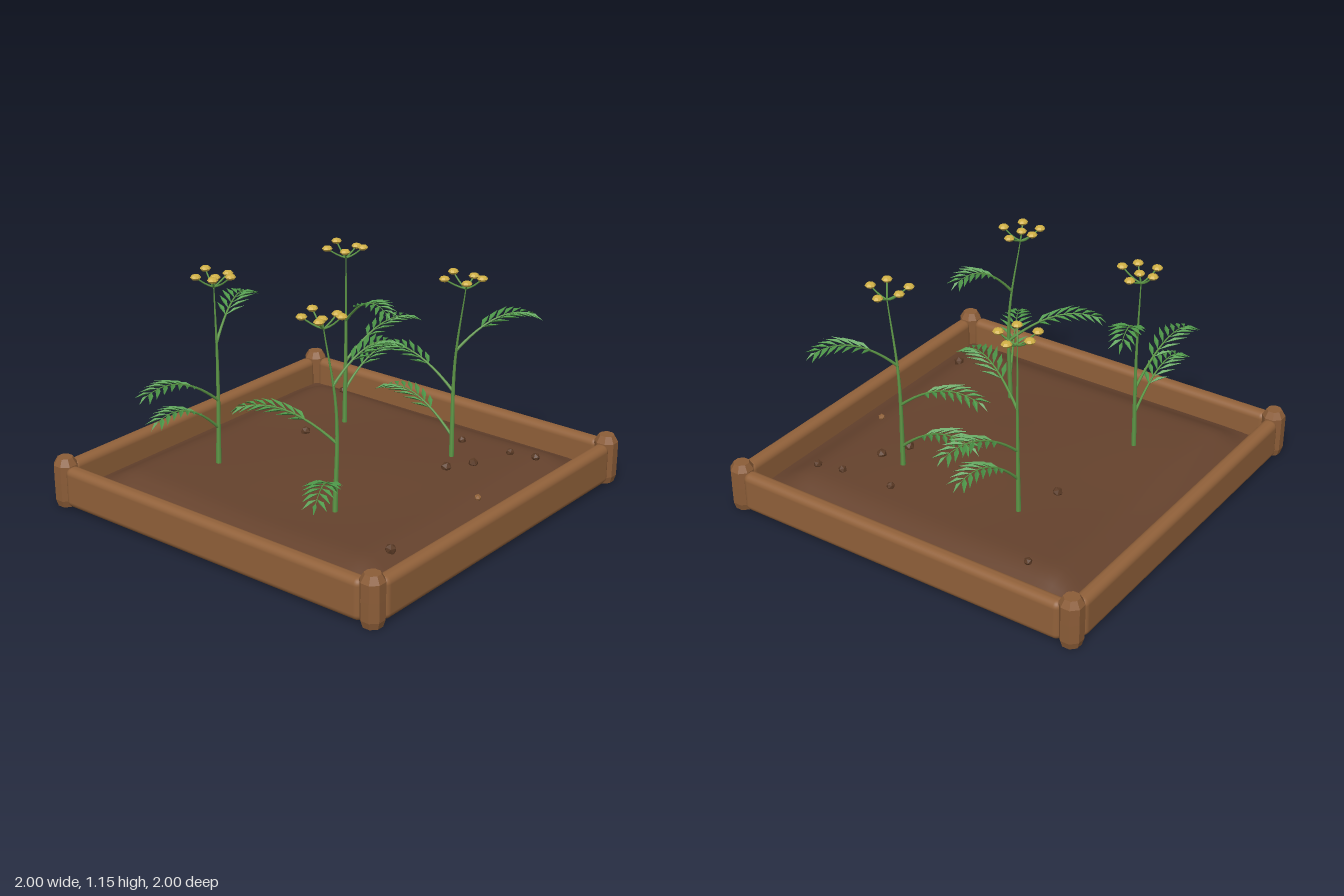
import * as THREE from 'three';
import { mergeGeometries } from 'three/addons/utils/BufferGeometryUtils.js';
import { RoundedBoxGeometry } from 'three/addons/geometries/RoundedBoxGeometry.js';

const material = (name, color, extra = {}) => {
  const m = new THREE.MeshStandardMaterial({ color, ...extra });
  m.name = name;
  return m;
};
const wood = material('wood', 0x91613a);
const hewnWood = material('hewn wood', 0x8c5d38, { flatShading: true });
const soilBrown = material('soil brown', 0x65422d, { side: THREE.DoubleSide });
const stoneBrown = material('stone brown', 0x5a3a25, { flatShading: true });
const stoneTan = material('stone tan', 0x93643b, { flatShading: true });
const stemGreen = material('stem green', 0x5f9a48);
const leafGreen = material('leaf green', 0x4f9a4a, { side: THREE.DoubleSide });
const flowerYellow = material('flower yellow', 0xd0b045, { flatShading: true });

const V = (x, y, z) => new THREE.Vector3(x, y, z);

function add(parent, name, geometry, mat, x = 0, y = 0, z = 0) {
  const mesh = new THREE.Mesh(geometry, mat);
  mesh.name = name;
  mesh.position.set(x, y, z);
  parent.add(mesh);
  return mesh;
}

// Mounded soil: falls away near the boards, with gentle ripples
function soilHeight(x, z) {
  const fall = (t) => THREE.MathUtils.smoothstep(0.95 - Math.abs(t), 0, 0.25);
  const ripple = 0.008 * Math.sin(4.3 * x + 1) * Math.cos(3.7 * z - 0.6);
  return 0.07 + (0.085 + ripple) * fall(x) * fall(z);
}

// Tube whose rings shrink along the curve
function taperedTube(curve, r0, r1, segments = 10, sides = 6) {
  const g = new THREE.TubeGeometry(curve, segments, 1, sides);
  const p = g.attributes.position;
  const v = V(0, 0, 0);
  for (let i = 0; i <= segments; i++) {
    const c = curve.getPointAt(i / segments);
    const r = THREE.MathUtils.lerp(r0, r1, i / segments);
    for (let j = 0; j <= sides; j++) {
      const k = i * (sides + 1) + j;
      v.fromBufferAttribute(p, k).sub(c).multiplyScalar(r).add(c);
      p.setXYZ(k, v.x, v.y, v.z);
    }
  }
  return g;
}

// Paired, slightly folded diamond leaflets along a frond
function leafletGeometry(curve) {
  const points = [];
  const leaflet = (base, dir, length, width) => {
    const side = V(-dir.z, 0, dir.x).normalize().multiplyScalar(width / 2);
    const mid = base.clone().addScaledVector(dir, length * 0.45);
    const tip = base.clone().addScaledVector(dir, length);
    tip.y -= 0.012;
    const a = mid.clone().add(side), b = mid.clone().sub(side);
    a.y += 0.005;
    b.y += 0.005;
    points.push(base, a, tip, base, tip, b);
  };
  const pairs = 7;
  for (let i = 0; i < pairs; i++) {
    const t = 0.36 + 0.56 * i / (pairs - 1);
    const base = curve.getPointAt(t);
    const forward = curve.getTangentAt(t);
    const out = V(-forward.z, 0, forward.x).normalize();
    const length = 0.135 - 0.05 * Math.abs(i - 2) / (pairs - 3);
    for (const s of [-1, 1]) {
      const dir = forward.clone().multiplyScalar(0.75).addScaledVector(out, s * 0.66).normalize();
      leaflet(base, dir, length, 0.024);
    }
  }
  leaflet(curve.getPointAt(0.97), curve.getTangentAt(1), 0.06, 0.018);
  const g = new THREE.BufferGeometry().setFromPoints(points);
  g.computeVertexNormals();
  return g;
}

// Each plant: stem foot and top, umbel heights, floret positions, frond tips [x, y, z]
const plants = [
  { name: 'frontRightPlant', foot: [-0.43, 0.32], top: [-0.46, 0.28], hub: 1.05, crown: 1.11,
    florets: [[-0.53, 0.21], [-0.43, 0.19], [-0.37, 0.285], [-0.43, 0.36], [-0.54, 0.32], [-0.47, 0.28]],
    fronds: [[-0.86, 0.42, 0.56], [-0.12, 0.93, 0.42], [-0.65, 0.65, -0.07]] },
  { name: 'backRightPlant', foot: [-0.38, -0.46], top: [-0.37, -0.47], hub: 1.065, crown: 1.125,
    florets: [[-0.45, -0.51], [-0.34, -0.55], [-0.28, -0.46], [-0.36, -0.37], [-0.44, -0.41], [-0.37, -0.46]],
    fronds: [[-0.02, 0.94, -0.58], [-0.83, 0.65, -0.49], [-0.78, 0.51, -0.47]] },
  { name: 'frontLeftPlant', foot: [0.41, 0.38], top: [0.41, 0.44], hub: 1.045, crown: 1.1,
    florets: [[0.33, 0.37], [0.43, 0.35], [0.49, 0.43], [0.43, 0.52], [0.33, 0.5]],
    fronds: [[0.75, 0.87, 0.61], [0.44, 0.43, -0.06], [0.4, 0.66, -0.08]] },
  { name: 'backLeftPlant', foot: [0.42, -0.31], top: [0.43, -0.31], hub: 1.045, crown: 1.1,
    florets: [[0.355, -0.37], [0.465, -0.4], [0.515, -0.31], [0.465, -0.23], [0.36, -0.26]],
    fronds: [[0.86, 0.65, -0.21], [0.8, 0.5, -0.25], [0.3, 0.87, 0.05]] },
];

function buildPlant({ name, foot, top, hub, crown, florets, fronds }) {
  const plant = new THREE.Group();
  plant.name = name;
  const ground = soilHeight(...foot);
  const middle = V(foot[0] + 0.01, 0.65, foot[1]);
  const stem = new THREE.CatmullRomCurve3([
    V(foot[0], ground - 0.02, foot[1]), middle, V(top[0], hub, top[1])]);
  add(plant, 'stem', taperedTube(stem, 0.014, 0.003, 14), stemGreen);

  // Arching fronds
  for (const [x, y, z] of fronds) {
    const t = (y - 0.15 - ground) / (hub - ground);
    const start = stem.getPointAt(t);
    const tip = V(x, y - 0.01, z);
    const bend = start.clone().lerp(tip, 0.55);
    bend.y = y + 0.07;
    const curve = new THREE.QuadraticBezierCurve3(start, bend, tip);
    add(plant, 'frondStalk', taperedTube(curve, 0.008, 0.0015, 10, 5), stemGreen);
    add(plant, 'leaflets', leafletGeometry(curve), leafGreen);
  }

  // Flower umbel
  const rays = [], heads = [];
  florets.forEach(([x, z], i) => {
    const y = crown + 0.012 * Math.sin(i * 2.3);
    const ray = new THREE.QuadraticBezierCurve3(V(top[0], hub, top[1]),
      V((x + top[0]) / 2, hub + 0.015, (z + top[1]) / 2), V(x, y, z));
    rays.push(taperedTube(ray, 0.005, 0.004, 4, 5));
    heads.push(new THREE.SphereGeometry(0.027, 8, 4).scale(1, 0.55, 1).translate(x, y, z));
  });
  add(plant, 'flowerRays', mergeGeometries(rays), stemGreen);
  add(plant, 'flowerHeads', mergeGeometries(heads), flowerYellow);
  return plant;
}

export function createModel() {
  const model = new THREE.Group();
  model.name = 'gardenBed';

  // Rounded boards on four sides
  for (let i = 0; i < 4; i++) {
    const side = new THREE.Group();
    side.name = 'boardSide';
    side.rotation.y = i * Math.PI / 2;
    add(side, 'board', new RoundedBoxGeometry(1.82, 0.205, 0.078, 4, 0.034), wood, 0, 0.1125, 0.953);
    model.add(side);
  }

  // Hewn corner posts
  const profile = [[0, 0], [0.044, 0], [0.054, 0.035], [0.055, 0.13], [0.055, 0.215], [0.036, 0.25], [0, 0.25]]
    .map(([r, y]) => new THREE.Vector2(r / Math.cos(Math.PI / 8), y));
  const postGeometry = new THREE.LatheGeometry(profile, 8).rotateY(Math.PI / 8);
  for (const x of [-0.945, 0.945])
    for (const z of [-0.945, 0.945]) add(model, 'cornerPost', postGeometry, hewnWood, x, 0, z);

  // Soil sheet
  const soil = new THREE.PlaneGeometry(1.86, 1.86, 40, 40).rotateX(-Math.PI / 2);
  const p = soil.attributes.position;
  for (let i = 0; i < p.count; i++) p.setY(i, soilHeight(p.getX(i), p.getZ(i)));
  soil.computeVertexNormals();
  add(model, 'soil', soil, soilBrown);

  // Scattered stones
  const stones = [[0.74, -0.58, 0.021], [0.19, -0.38, 0.026], [0.6, 0.31, 0.022], [0.27, 0.45, 0.028],
    [0.4, 0.52, 0.026], [0.62, 0.59, 0.022], [0.65, 0.72, 0.023], [0.11, 0.75, 0.018], [-0.58, 0.76, 0.028]];
  stones.forEach(([x, z, r], i) => {
    const mesh = add(model, 'stone', new THREE.IcosahedronGeometry(r, 0),
      i === 7 ? stoneTan : stoneBrown, x, soilHeight(x, z) + 0.008, z);
    mesh.rotation.set(i, i * 1.7, 0);
  });

  for (const plant of plants) model.add(buildPlant(plant));
  return model;
}
